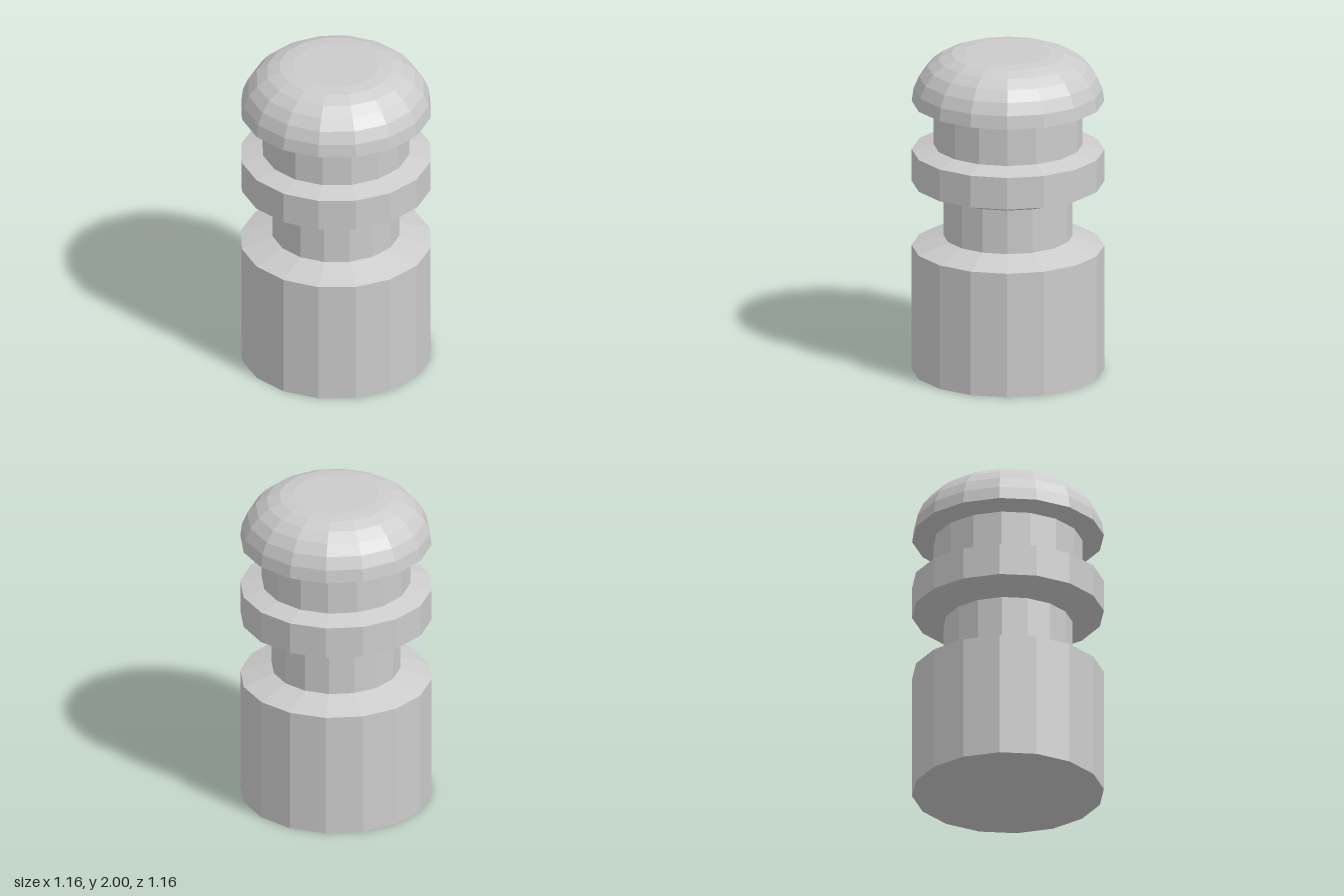
import * as THREE from 'three';

const SIDES = 16;
const R = 0.58; // outer radius

export function createModel() {
  const group = new THREE.Group();
  const material = new THREE.MeshStandardMaterial({ color: 0xcccccc, flatShading: true });

  // Each part is a faceted band turned from a bottom-to-top profile of [radius, height].
  const turn = (name, profile) => {
    const points = profile.map(([r, y]) => new THREE.Vector2(r, y));
    const mesh = new THREE.Mesh(new THREE.LatheGeometry(points, SIDES), material);
    mesh.name = name;
    group.add(mesh);
  };

  // Solid foot with a sloped shoulder
  turn('base', [[0, 0], [R, 0], [R, 0.78], [0.39, 0.845]]);
  turn('lowerNeck', [[0.39, 0.845], [0.39, 1.12]]);
  // Wide ring bevelled above and below
  turn('collar', [[0.39, 1.12], [R, 1.185], [R, 1.385], [0.45, 1.42]]);
  turn('upperNeck', [[0.45, 1.42], [0.45, 1.66]]);

  // Rounded cap: bevelled underside, quarter-round edge, flat top
  const cap = [[0.45, 1.66]];
  const steps = 6;
  for (let i = 0; i <= steps; i++) {
    const a = (i / steps) * Math.PI / 2;
    cap.push([0.26 + 0.32 * Math.cos(a), 1.69 + 0.31 * Math.sin(a)]);
  }
  cap.push([0, 2]);
  turn('cap', cap);

  return group;
}
